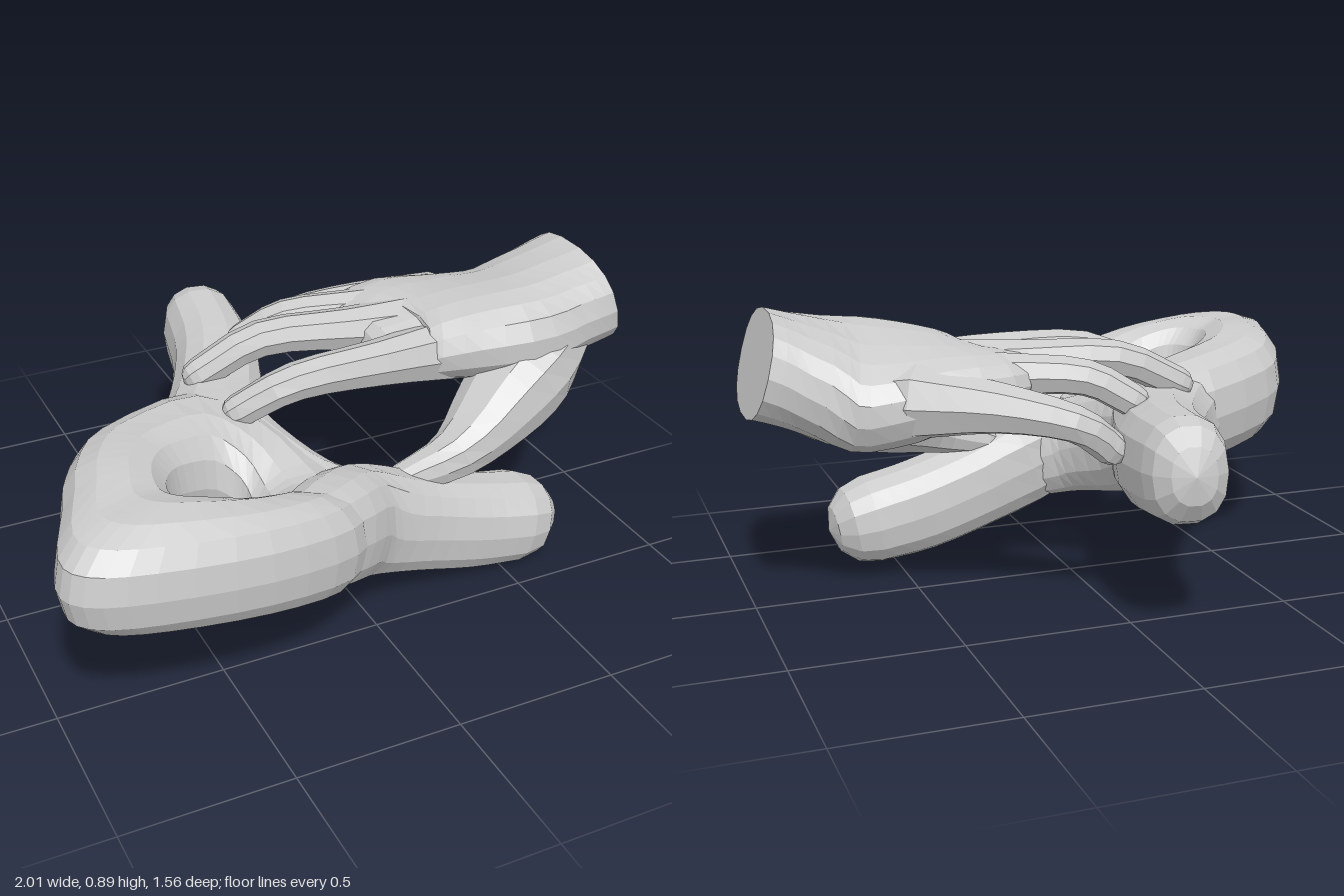
import * as THREE from 'three';

const material = new THREE.MeshStandardMaterial({ color: 0xcccccc, flatShading: true });

// Slightly squared ellipse around a centre, spanned by two half axes.
function section(centre, side, top, sides) {
  const soften = v => Math.sign(v) * Math.abs(v) ** 0.85;
  return Array.from({ length: sides }, (_, j) => {
    const a = (j / sides) * Math.PI * 2;
    return centre.clone()
      .addScaledVector(side, soften(Math.cos(a)))
      .addScaledVector(top, soften(Math.sin(a)));
  });
}

// Joins equal rings of points into a surface.
function skin(name, rings) {
  const sides = rings[0].length;
  const index = [];
  for (let i = 0; i < rings.length - 1; i++) {
    for (let j = 0; j < sides; j++) {
      const k = (j + 1) % sides;
      const a = i * sides + j, b = a + sides, c = i * sides + k, d = c + sides;
      index.push(a, b, c, b, d, c);
    }
  }
  const geometry = new THREE.BufferGeometry().setFromPoints(rings.flat());
  geometry.setIndex(index);
  geometry.computeVertexNormals();
  const mesh = new THREE.Mesh(geometry, material);
  mesh.name = name;
  return mesh;
}

const curve = (points, closed = false) => new THREE.CatmullRomCurve3(
  points.map(p => new THREE.Vector3(...p)), closed, 'catmullrom', 0.5);

// Sweeps a section through stations [x, y, z, halfWidth, halfHeight, roll].
// Ends are rounded, or closed flat at the start when asked.
function limb(name, stations, { sides = 14, steps = 3, flatStart = false } = {}) {
  const path = curve(stations.map(s => s.slice(0, 3)));
  const size = curve(stations.map(([, , , w, h, roll = 0]) => [w, h, roll]));
  const up = new THREE.Vector3(0, 1, 0);
  const n = (stations.length - 1) * steps;
  const rings = [];
  const addRing = (t, shift, scale) => {
    const tangent = path.getTangent(t);
    const s = size.getPoint(t);
    const side = new THREE.Vector3().crossVectors(tangent, up).normalize().applyAxisAngle(tangent, s.z);
    const top = new THREE.Vector3().crossVectors(side, tangent);
    const centre = path.getPoint(t).addScaledVector(tangent, shift * Math.min(s.x, s.y));
    rings.push(section(centre, side.multiplyScalar(s.x * scale), top.multiplyScalar(s.y * scale), sides));
  };
  const capAngles = [30, 58, 90].map(d => d * Math.PI / 180);
  if (flatStart) addRing(0, 0, 0);
  else [...capAngles].reverse().forEach(a => addRing(0, -Math.sin(a), Math.cos(a)));
  for (let i = 0; i <= n; i++) addRing(i / n, 0, 1);
  capAngles.forEach(a => addRing(1, Math.sin(a), Math.cos(a)));
  return skin(name, rings);
}

// Closed band around a hole: stations [innerX, innerZ, outerX, outerZ, y, halfHeight].
function band(name, stations, sides = 14, count = 36) {
  const inner = curve(stations.map(s => [s[0], s[4], s[1]]), true);
  const outer = curve(stations.map(s => [s[2], s[4], s[3]]), true);
  const height = curve(stations.map(s => [0, s[5], 0]), true);
  const rings = [];
  for (let i = 0; i <= count; i++) {
    const t = i / count;
    const a = inner.getPoint(t), b = outer.getPoint(t);
    const centre = a.clone().add(b).multiplyScalar(0.5);
    rings.push(section(centre, b.sub(a).multiplyScalar(0.5), height.getPoint(t), sides));
  }
  return skin(name, rings);
}

export function createModel() {
  const model = new THREE.Group();
  model.name = 'handOnLoop';

  // Thick body around a small hole, with two free arms
  const loop = new THREE.Group();
  loop.name = 'loop';
  loop.add(
    // Stations run anticlockwise seen from above
    band('loopBody', [
      [-0.60, 0.41, -0.92, 0.40, 0.525, 0.17],
      [-0.59, 0.45, -1.00, 0.61, 0.52, 0.165],
      [-0.56, 0.49, -0.96, 0.72, 0.52, 0.165],
      [-0.51, 0.51, -0.78, 0.77, 0.51, 0.165],
      [-0.44, 0.51, -0.45, 0.77, 0.475, 0.165],
      [-0.38, 0.47, -0.16, 0.68, 0.42, 0.17],
      [-0.35, 0.41, -0.05, 0.50, 0.36, 0.165],
      [-0.34, 0.35, -0.05, 0.30, 0.36, 0.16],
      [-0.35, 0.30, -0.14, 0.06, 0.41, 0.17],
      [-0.41, 0.27, -0.34, -0.12, 0.465, 0.18],
      [-0.51, 0.30, -0.72, 0.05, 0.50, 0.18],
      [-0.57, 0.35, -0.86, 0.24, 0.52, 0.175],
    ]),
    limb('backArm', [
      [-0.09, 0.50, -0.66, 0.125, 0.155],
      [-0.13, 0.475, -0.42, 0.14, 0.165],
      [-0.225, 0.45, -0.18, 0.155, 0.17],
      [-0.34, 0.45, 0.02, 0.17, 0.175],
      [-0.50, 0.48, 0.13, 0.15, 0.16],
    ]),
    limb('frontArm', [
      [-0.32, 0.44, 0.62, 0.11, 0.14],
      [-0.15, 0.385, 0.49, 0.14, 0.165],
      [0.00, 0.31, 0.38, 0.14, 0.17],
      [0.20, 0.23, 0.345, 0.125, 0.155],
      [0.40, 0.17, 0.33, 0.13, 0.15],
      [0.57, 0.14, 0.325, 0.14, 0.14],
    ]),
    limb('strandBridge', [
      [-0.25, 0.44, -0.08, 0.13, 0.15],
      [-0.22, 0.39, 0.10, 0.12, 0.17],
      [-0.13, 0.34, 0.28, 0.12, 0.16],
      [0.00, 0.30, 0.37, 0.12, 0.15],
    ]));

  // Hand resting on the loop, cut flat at the wrist
  const hand = new THREE.Group();
  hand.name = 'hand';
  hand.add(
    limb('palm', [
      [0.965, 0.745, 0.02, 0.23, 0.16],
      [0.85, 0.715, 0.02, 0.255, 0.155, -0.1],
      [0.68, 0.67, 0.01, 0.31, 0.155, -0.22],
      [0.50, 0.665, -0.04, 0.29, 0.14, -0.15],
      [0.36, 0.675, -0.08, 0.26, 0.11, 0],
      [0.25, 0.685, -0.06, 0.20, 0.075, 0],
    ].map(([x, y, z, w, h, roll = 0]) => [x, y, z, w, h, -roll]), { sides: 18, flatStart: true }),
    limb('thumb', [
      [0.80, 0.67, 0.09, 0.16, 0.14],
      [0.68, 0.585, 0.19, 0.15, 0.155],
      [0.52, 0.50, 0.26, 0.125, 0.125],
      [0.35, 0.42, 0.32, 0.08, 0.075],
      [0.18, 0.37, 0.31, 0.05, 0.045],
    ], { sides: 10 }));

  const fingers = {
    indexFinger: [[0.46, 0.66, 0.10, 0.10, 0.10], [0.17, 0.69, 0.145, 0.07, 0.07],
      [-0.10, 0.69, 0.145, 0.06, 0.055], [-0.27, 0.61, 0.105, 0.05, 0.05]],
    middleFinger: [[0.46, 0.69, -0.03, 0.10, 0.10], [0.17, 0.71, -0.07, 0.07, 0.065],
      [-0.10, 0.71, -0.12, 0.06, 0.055], [-0.30, 0.62, -0.14, 0.05, 0.05]],
    ringFinger: [[0.46, 0.68, -0.14, 0.10, 0.10], [0.25, 0.70, -0.20, 0.07, 0.065],
      [0.05, 0.69, -0.265, 0.06, 0.055], [-0.08, 0.62, -0.31, 0.05, 0.05]],
    littleFinger: [[0.55, 0.65, -0.22, 0.11, 0.11], [0.34, 0.64, -0.34, 0.08, 0.075],
      [0.15, 0.60, -0.435, 0.06, 0.055], [0.04, 0.52, -0.44, 0.05, 0.05]],
  };
  for (const [name, stations] of Object.entries(fingers)) {
    hand.add(limb(name, stations, { sides: 8 }));
  }

  model.add(loop, hand);
  return model;
}
